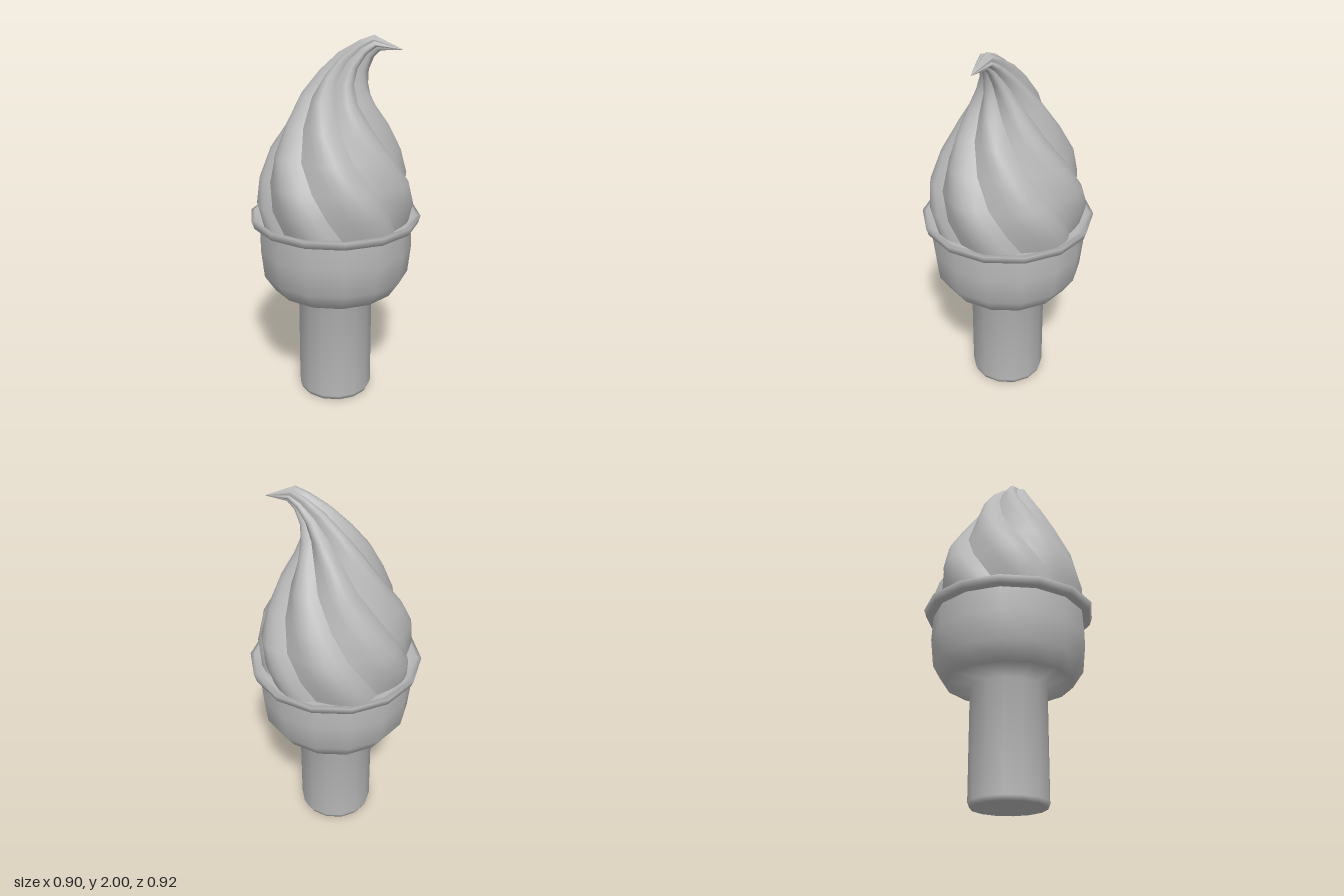
import * as THREE from 'three';

const SIDES = 14;
const LOBES = 7;
const STEPS = 6;

const grey = new THREE.MeshStandardMaterial({ color: 0xb8b8b8 });
grey.name = 'plain grey';

function lathe(name, profile) {
  const points = profile.map(([r, y]) => new THREE.Vector2(r, y));
  const mesh = new THREE.Mesh(new THREE.LatheGeometry(points, SIDES), grey);
  mesh.name = name;
  return mesh;
}

// Rings of the swirl: centre x, centre y, radius, tilt in degrees, groove depth
const RINGS = [
  [0, 1.0, 0.395, 0, 0.08],
  [0, 1.13, 0.42, 0, 0.09],
  [0.005, 1.26, 0.405, 0, 0.11],
  [0, 1.4, 0.352, 0, 0.14],
  [0.01, 1.55, 0.27, 2, 0.18],
  [0.02, 1.68, 0.195, 8, 0.22],
  [0.05, 1.78, 0.135, 17, 0.25],
  [0.1, 1.865, 0.09, 32, 0.25],
  [0.165, 1.93, 0.056, 48, 0.22],
  [0.22, 1.962, 0.042, 65, 0.2],
  [0.35, 1.935, 0.001, 100, 0],
];

// One lobe: a rounded strip that winds up the swirl between two grooves
function lobeGeometry(k) {
  const positions = [], index = [];
  RINGS.forEach(([cx, cy, radius, tiltDeg, depth], i) => {
    const tilt = THREE.MathUtils.degToRad(tiltDeg);
    const start = THREE.MathUtils.degToRad(73 - 105 * (Math.min(cy, 1.97) - 1.06));
    for (let j = 0; j <= STEPS; j++) {
      const t = j / STEPS;
      const a = start + (k + t) * 2 * Math.PI / LOBES;
      const r = radius * (1 - depth + depth * Math.sin(Math.PI * Math.pow(t, 1.4)));
      const across = r * Math.sin(a);
      positions.push(cx + across * Math.cos(tilt), cy - across * Math.sin(tilt), r * Math.cos(a));
      if (i < RINGS.length - 1 && j < STEPS) {
        const p = i * (STEPS + 1) + j, q = p + STEPS + 1;
        index.push(p, p + 1, q + 1, p, q + 1, q);
      }
    }
  });
  const geometry = new THREE.BufferGeometry();
  geometry.setAttribute('position', new THREE.Float32BufferAttribute(positions, 3));
  geometry.setIndex(index);
  geometry.computeVertexNormals();
  return geometry;
}

export function createModel() {
  const model = new THREE.Group();
  model.name = 'softServeCone';

  // Handle and cup of the wafer cone
  model.add(lathe('waferCone', [
    [0, 0], [0.195, 0], [0.205, 0.025], [0.205, 0.61], [0.34, 0.64],
    [0.4, 0.73], [0.416, 0.88], [0.408, 1.02],
  ]));

  // Lip around the cup, closed inside under the swirl
  model.add(lathe('coneRim', [
    [0.4, 1.012], [0.448, 1.012], [0.461, 1.052], [0.44, 1.055], [0.4, 1.02], [0, 1.015],
  ]));

  // Twisted ice cream with a bent tip
  const swirl = new THREE.Group();
  swirl.name = 'iceCreamSwirl';
  for (let k = 0; k < LOBES; k++) {
    const lobe = new THREE.Mesh(lobeGeometry(k), grey);
    lobe.name = 'swirlLobe' + (k + 1);
    swirl.add(lobe);
  }
  model.add(swirl);
  return model;
}
